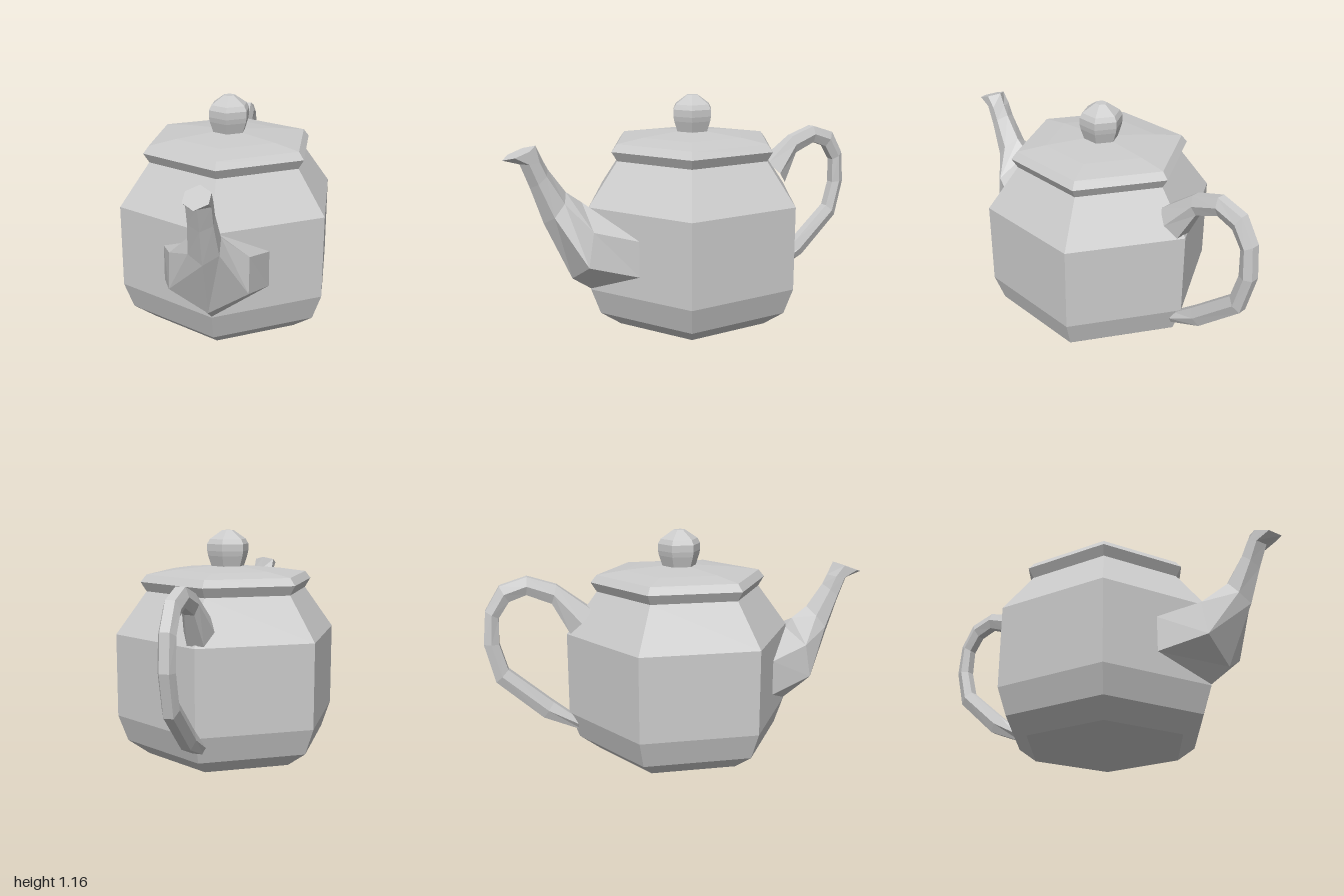
import * as THREE from 'three';

const material = new THREE.MeshStandardMaterial({ color: 0xcccccc, flatShading: true });

// Six-sided turned part, with corners towards +z and -z
function turned(name, profile) {
  const points = profile.map(([r, y]) => new THREE.Vector2(r, y));
  const mesh = new THREE.Mesh(new THREE.LatheGeometry(points, 6), material);
  mesh.name = name;
  return mesh;
}

// Skin over a row of six-point rings, closed at the last ring
function loft(name, rings) {
  const n = 6, index = [];
  for (let i = 0; i < rings.length - 1; i++) {
    for (let j = 0; j < n; j++) {
      const a = i * n + j, b = i * n + (j + 1) % n;
      index.push(a, b, b + n, a, b + n, a + n);
    }
  }
  const last = (rings.length - 1) * n;
  for (let j = 1; j < n - 1; j++) index.push(last, last + j, last + j + 1);

  const indexed = new THREE.BufferGeometry();
  indexed.setAttribute('position', new THREE.Float32BufferAttribute(rings.flat(2), 3));
  indexed.setIndex(index);
  const geometry = indexed.toNonIndexed();
  geometry.computeVertexNormals();
  const mesh = new THREE.Mesh(geometry, material);
  mesh.name = name;
  return mesh;
}

// Spout ring: a corner below and above, two upright sides between them
function spoutRing([z0, y0, z1, y1, w, sideZ]) {
  const at = (x, t) => [x, y0 + (y1 - y0) * t, sideZ ?? z0 + (z1 - z0) * t];
  return [[0, y0, z0], at(w, 0.27), at(w, 0.72), [0, y1, z1], at(-w, 0.72), at(-w, 0.27)];
}

// Handle ring: flat outside and inside, a corner on each side
function handleRing([z0, y0, z1, y1, w]) {
  const zm = (z0 + z1) / 2, ym = (y0 + y1) / 2, h = w * 0.55;
  return [[-h, y0, z0], [h, y0, z0], [w, ym, zm], [h, y1, z1], [-h, y1, z1], [-w, ym, zm]];
}

export function createModel() {
  const model = new THREE.Group();
  model.name = 'teapot';

  model.add(turned('body', [
    [0, 0], [0.427, 0], [0.537, 0.08], [0.586, 0.215], [0.586, 0.64], [0.427, 0.855], [0, 0.855],
  ]));
  model.add(turned('lid', [
    [0.427, 0.855], [0.457, 0.903], [0.427, 0.94], [0.285, 0.96], [0.09, 0.977], [0, 0.977],
  ]));
  model.add(turned('knob', [
    [0.085, 0.97], [0.105, 1.03], [0.11, 1.055], [0.11, 1.09], [0.096, 1.115], [0.03, 1.16], [0, 1.16],
  ]));

  // Lower z, y, then upper z, y, half width, and z of the sides where they meet the body
  model.add(loft('spout', [
    [0.585, 0.22, 0.585, 0.62, 0.257, 0.435],
    [0.683, 0.29, 0.62, 0.67, 0.185],
    [0.817, 0.59, 0.70, 0.73, 0.07],
    [0.876, 0.77, 0.785, 0.85, 0.056],
    [0.92, 0.887, 0.81, 0.90, 0.055],
    [1.0, 0.912, 0.84, 0.968, 0.055],
  ].map(spoutRing)));

  // Outer z, y, then inner z, y and half width
  model.add(loft('handle', [
    [-0.455, 0.768, -0.57, 0.65, 0.075],
    [-0.63, 0.90, -0.656, 0.806, 0.042],
    [-0.774, 0.946, -0.78, 0.855, 0.04],
    [-0.91, 0.903, -0.866, 0.823, 0.04],
    [-0.984, 0.78, -0.92, 0.742, 0.04],
    [-1.0, 0.61, -0.925, 0.608, 0.04],
    [-0.95, 0.41, -0.887, 0.473, 0.04],
    [-0.72, 0.204, -0.667, 0.285, 0.04],
    [-0.516, 0.118, -0.56, 0.2, 0.04],
  ].map(handleRing)));

  return model;
}
